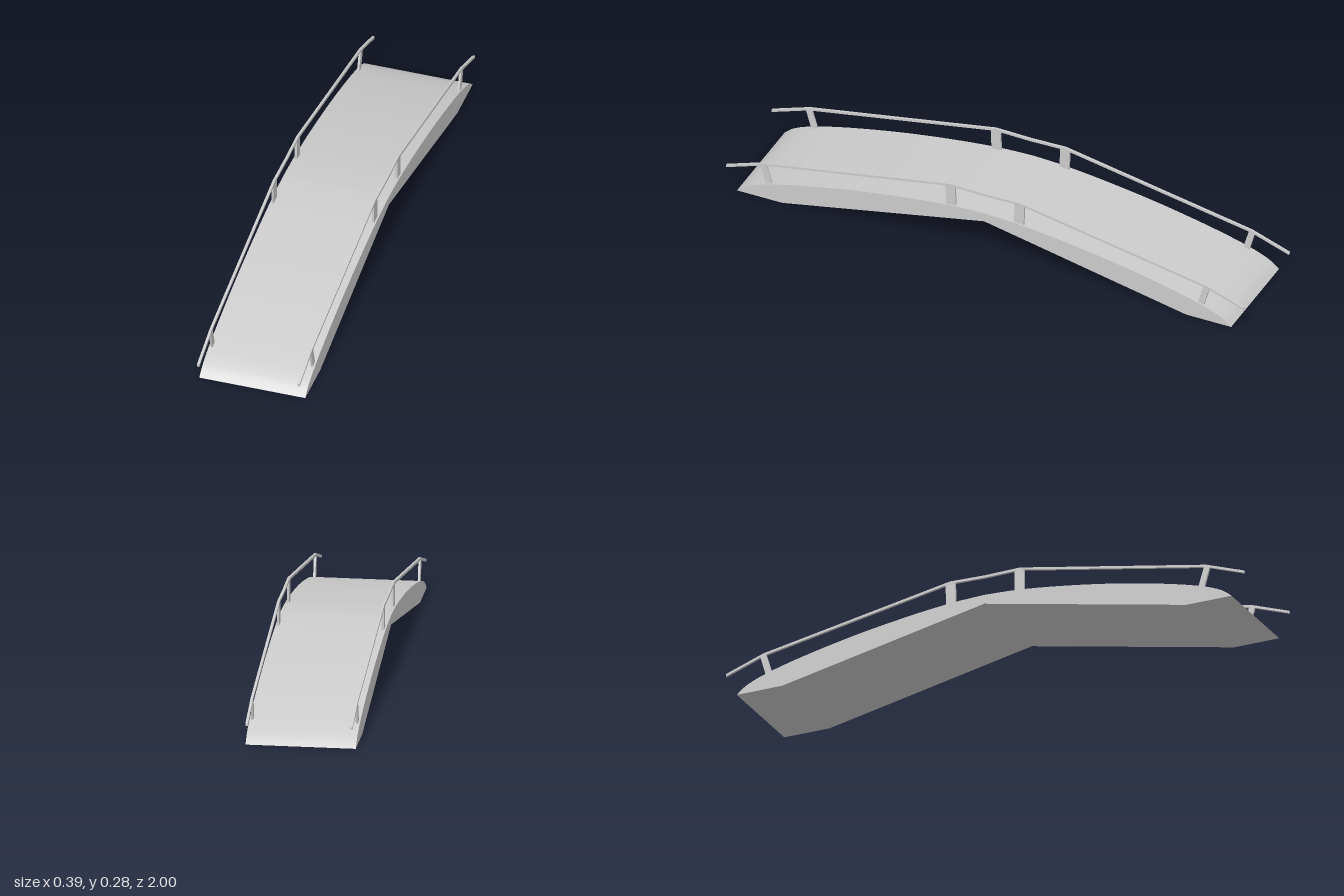
import * as THREE from 'three';
import { toCreasedNormals } from 'three/addons/utils/BufferGeometryUtils.js';

const material = new THREE.MeshStandardMaterial({ color: 0xcccccc });

// Extrudes a side profile of [z, y] points across x, centred on the given x
function sideExtrusion(name, points, width, x) {
  const shape = new THREE.Shape(points.map(([z, y]) => new THREE.Vector2(z, y)));
  const geometry = new THREE.ExtrudeGeometry(shape, { depth: width, bevelEnabled: false });
  geometry.translate(0, 0, -width / 2).rotateY(-Math.PI / 2);
  const mesh = new THREE.Mesh(toCreasedNormals(geometry, 0.3), material);
  mesh.name = name;
  mesh.position.x = x;
  return mesh;
}

// Completes a half profile (front to centre) with its mirror image
const mirrored = (half) => [...half, ...half.slice(0, -1).reverse().map(([z, y]) => [-z, y])];

export function createModel() {
  const group = new THREE.Group();
  group.name = 'archedFootbridge';

  // Arched deck with a flat foot at each end and a peaked underside
  const crown = new THREE.SplineCurve([
    [0.955, 0], [0.915, 0.03], [0.84, 0.06], [0.7, 0.097], [0.5, 0.138],
    [0.3, 0.169], [0.13, 0.188], [0, 0.194],
  ].map(([z, y]) => new THREE.Vector2(z, y)));
  const top = mirrored(crown.getPoints(28).map((p) => [p.x, p.y]));
  const underside = [[-0.78, 0], [0, 0.16], [0.78, 0]];
  group.add(sideExtrusion('deck', [...top, ...underside], 0.388, 0));

  // Handrail line and post profiles, as [z, y]
  const railTop = mirrored([[1, 0.091], [0.855, 0.142], [0.135, 0.275], [0, 0.272]]);
  const railBottom = railTop.map(([z, y]) => [z, y - 0.009]).reverse();
  const posts = {
    innerPost: [[0.113, 0.18], [0.15, 0.18], [0.152, 0.27], [0.115, 0.27]],
    outerPost: [[0.823, 0.062], [0.845, 0.054], [0.868, 0.134], [0.846, 0.139]],
  };

  for (const side of [-1, 1]) {
    const railing = new THREE.Group();
    railing.name = side > 0 ? 'leftRailing' : 'rightRailing';
    const x = side * 0.184;
    railing.add(sideExtrusion('handrail', [...railTop, ...railBottom], 0.009, x));
    for (const [name, profile] of Object.entries(posts)) {
      for (const end of [1, -1]) {
        const points = profile.map(([z, y]) => [z * end, y]);
        railing.add(sideExtrusion((end > 0 ? 'front_' : 'back_') + name, points, 0.008, x));
      }
    }
    group.add(railing);
  }
  return group;
}
